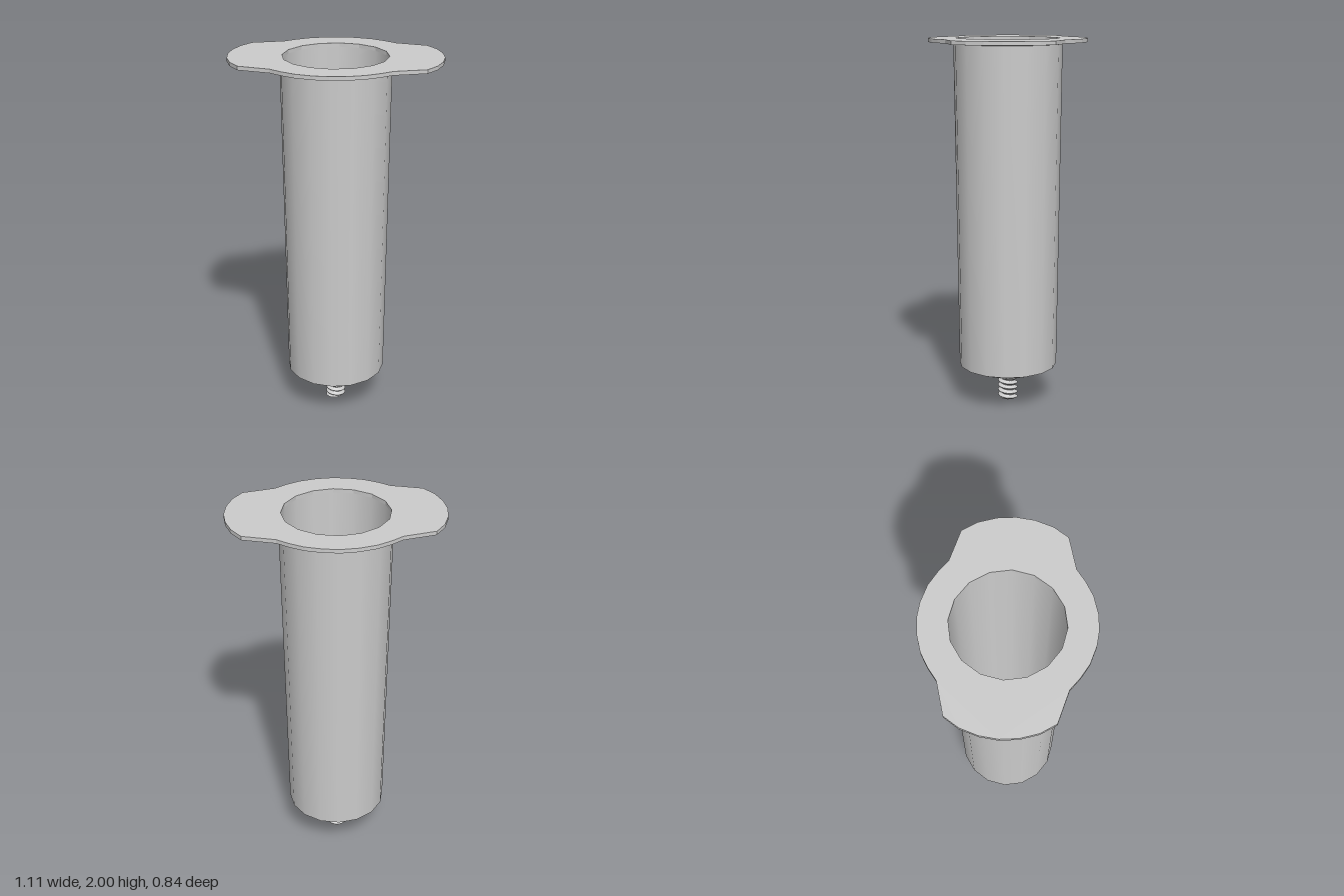
import * as THREE from 'three';

const SIDES = 16;
const material = new THREE.MeshStandardMaterial({ color: 0xcccccc });
const doubleSided = new THREE.MeshStandardMaterial({ color: 0xcccccc, side: THREE.DoubleSide });

function add(parent, name, geometry, mat = material) {
  const mesh = new THREE.Mesh(geometry, mat);
  mesh.name = name;
  parent.add(mesh);
  return mesh;
}

// One conical band of the barrel, from (r0, y0) to (r1, y1)
function band(parent, name, r0, y0, r1, y1) {
  const points = [new THREE.Vector2(r0, y0), new THREE.Vector2(r1, y1)];
  return add(parent, name, new THREE.LatheGeometry(points, SIDES), doubleSided);
}

// Finger flange: round plate with two winged tabs and a bore
function flangeGeometry() {
  const quarter = [
    [0.555, 0], [0.545, 0.09], [0.515, 0.18], [0.465, 0.255], [0.3, 0.3],
    [0.24, 0.345], [0.17, 0.385], [0.08, 0.412], [0, 0.42],
  ];
  const right = [...quarter, ...quarter.slice(0, -1).reverse().map(([x, z]) => [-x, z])];
  const outline = [...right, ...right.slice(1, -1).reverse().map(([x, z]) => [x, -z])];
  const shape = new THREE.Shape(outline.map(([x, z]) => new THREE.Vector2(x, z)));
  const bore = [];
  for (let i = 0; i < SIDES; i++) {
    const a = (-i / SIDES) * Math.PI * 2;
    bore.push(new THREE.Vector2(0.275 * Math.cos(a), 0.275 * Math.sin(a)));
  }
  shape.holes.push(new THREE.Path(bore));
  const geometry = new THREE.ExtrudeGeometry(shape, { depth: 0.02, bevelEnabled: false });
  geometry.rotateX(-Math.PI / 2);
  geometry.translate(0, 1.98, 0);
  return geometry;
}

// Screw tip: an off-centre circle twisted as it rises
function screwGeometry(height, turns) {
  const geometry = new THREE.CylinderGeometry(0.046, 0.046, height, 20, 90);
  geometry.translate(0, height / 2, 0);
  const p = geometry.attributes.position;
  for (let i = 0; i < p.count; i++) {
    const a = (p.getY(i) / height - 1) * turns * Math.PI * 2;
    p.setX(i, p.getX(i) + 0.009 * Math.cos(a));
    p.setZ(i, p.getZ(i) + 0.009 * Math.sin(a));
  }
  geometry.computeVertexNormals();
  return geometry;
}

export function createModel() {
  const model = new THREE.Group();
  model.name = 'syringeBarrel';

  // Hollow tapered barrel with a conical floor
  const barrel = new THREE.Group();
  barrel.name = 'barrel';
  model.add(barrel);
  band(barrel, 'outerWall', 0.27, 0.21, 0.289, 1.97);
  band(barrel, 'outerCone', 0.05, 0.125, 0.27, 0.21);
  band(barrel, 'innerWall', 0.275, 1.98, 0.26, 0.22);
  band(barrel, 'innerCone', 0.26, 0.22, 0.055, 0.125);

  // Flange and the short flare that joins it to the barrel
  add(model, 'flange', flangeGeometry());
  band(model, 'flangeFillet', 0.289, 1.968, 0.33, 1.981);

  // Threaded tip
  add(model, 'screwTip', screwGeometry(0.125, 4.5));

  return model;
}
